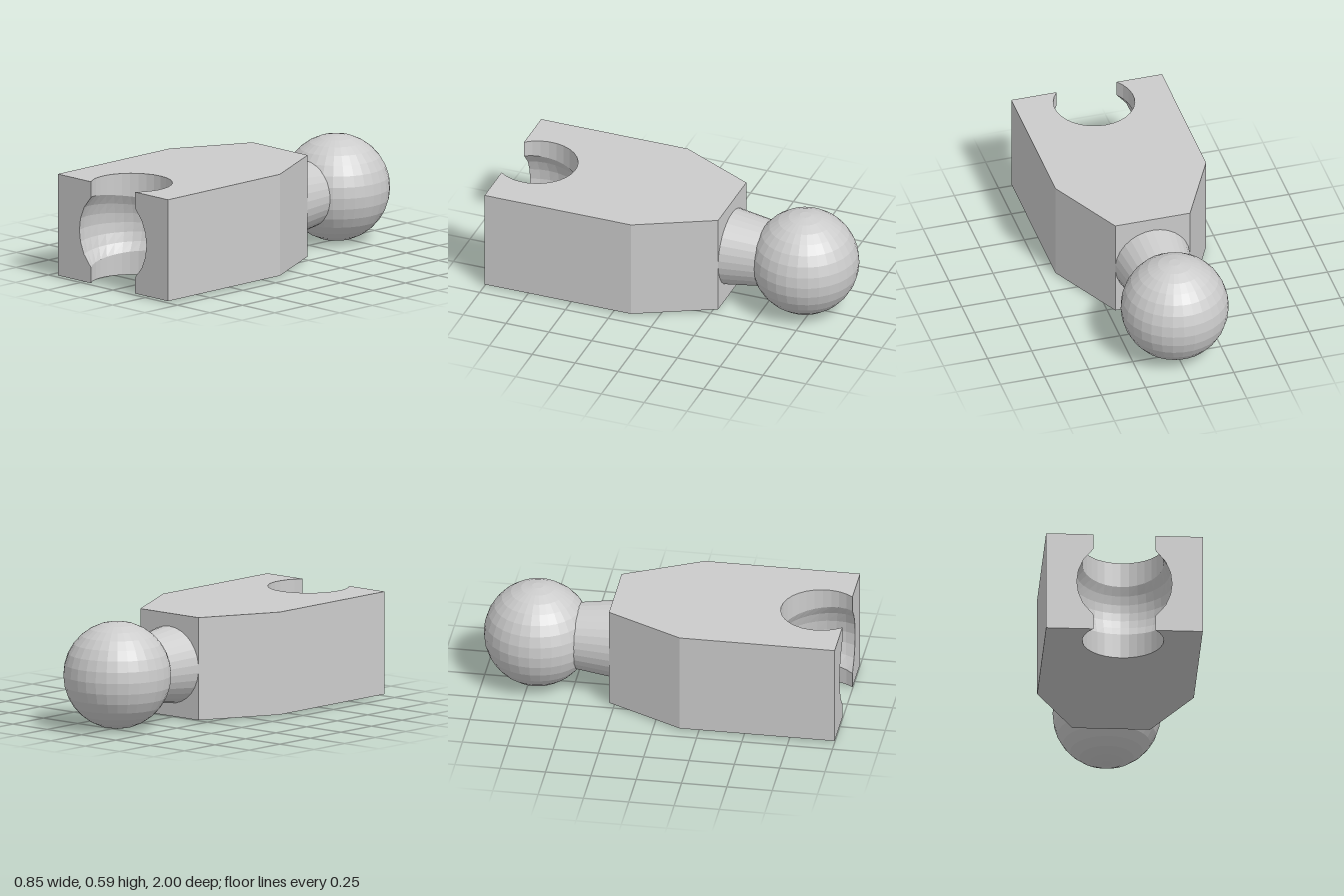
import * as THREE from 'three';

const BOTTOM = 0.01, TOP = 0.577, MID = 0.293, FRONT = 1;
const SLOT = { z: 0.857, r: 0.222 };    // upright round slot
const SOCKET = { z: 0.882, r: 0.285 };  // spherical hollow crossing the slot
const COLS = 22, ROWS = 6;
const material = new THREE.MeshStandardMaterial({ color: 0xcccccc, flatShading: true });

function add(parent, name, geometry) {
  const mesh = new THREE.Mesh(geometry, material);
  mesh.name = name;
  parent.add(mesh);
  return mesh;
}

// Skin over rows of [x, y, z] points, rows running top to bottom
function skin(rows) {
  const n = rows[0].length, index = [];
  for (let j = 0; j < rows.length - 1; j++) {
    for (let i = 0; i < n - 1; i++) {
      const a = j * n + i, b = a + n;
      index.push(a, b, a + 1, a + 1, b, b + 1);
    }
  }
  const g = new THREE.BufferGeometry();
  g.setAttribute('position', new THREE.Float32BufferAttribute(rows.flat(2), 3));
  g.setIndex(index);
  g.computeVertexNormals();
  return g;
}

const flat = (points) => new THREE.ShapeGeometry(new THREE.Shape(points.map(([x, y]) => new THREE.Vector2(x, y))));

// Rows of the notch: slot wall, hollow, slot wall; angles are about the slot axis
function notchRows() {
  const d = SOCKET.z - SLOT.z, f = FRONT - SLOT.z;
  const edge = Math.atan2(Math.sqrt(SLOT.r ** 2 - f * f), -f);
  const creaseHeight = (t) =>
    Math.sqrt(SOCKET.r ** 2 - SLOT.r ** 2 - 2 * SLOT.r * d * Math.cos(t) - d * d);
  const at = (t, r, y) => [r * Math.sin(t), y, SLOT.z - r * Math.cos(t)];
  const row = (fn) => Array.from({ length: COLS + 1 }, (_, i) => fn((2 * i) / COLS - 1));

  const rows = [row((u) => at(u * edge, SLOT.r, TOP))];
  for (let j = 0; j <= ROWS; j++) {
    const s = 1 - (2 * j) / ROWS;
    const frontDy = s * creaseHeight(edge);
    const frontX = Math.sqrt(SOCKET.r ** 2 - frontDy ** 2 - (FRONT - SOCKET.z) ** 2);
    const spread = Math.atan2(frontX, -f);
    rows.push(row((u) => {
      const dy = s * creaseHeight(u * edge), t = u * spread;
      const r = -d * Math.cos(t) + Math.sqrt(SOCKET.r ** 2 - dy * dy - (d * Math.sin(t)) ** 2);
      return at(t, r, MID + dy);
    }));
  }
  rows.push(row((u) => at(u * edge, SLOT.r, BOTTOM)));
  return rows;
}

export function createModel() {
  const model = new THREE.Group();
  model.name = 'ballJointLink';

  // Body block with tapered back and open socket
  const body = new THREE.Group();
  body.name = 'body';
  model.add(body);
  const notch = notchRows();
  const half = [[0.427, FRONT], [0.427, 0.145], [0.212, -0.28]];
  const outline = [...half, ...half.map(([x, z]) => [-x, z]).reverse()];
  add(body, 'outerWalls', skin([TOP, BOTTOM].map((y) => outline.map(([x, z]) => [x, y, z]))));
  add(body, 'socket', skin(notch));

  // Top and bottom plates share the slot outline
  const plate = [...outline, ...notch[0].map(([x, , z]) => [x, z])];
  add(body, 'topPlate', flat(plate.map(([x, z]) => [x, -z])).rotateX(-Math.PI / 2)).position.y = TOP;
  add(body, 'bottomPlate', flat(plate).rotateX(Math.PI / 2)).position.y = BOTTOM;

  // Front cheeks either side of the opening
  for (const [name, side, col] of [['leftCheek', 1, COLS], ['rightCheek', -1, 0]]) {
    const rim = notch.map((row) => [row[col][0], row[col][1]]);
    add(body, name, flat([...rim, [side * 0.427, BOTTOM], [side * 0.427, TOP]])).position.z = FRONT;
  }

  // Tapered neck
  const neck = new THREE.CylinderGeometry(0.178, 0.212, 0.24, 30, 1, true);
  add(model, 'neck', neck.rotateX(-Math.PI / 2)).position.set(0, MID, -0.4);

  // Faceted ball with small flat poles
  const radius = 0.2946, profile = [new THREE.Vector2(0, -radius * Math.cos(Math.PI / 30))];
  for (let i = 0; i < 15; i++) {
    const a = ((i + 0.5) * Math.PI) / 15;
    profile.push(new THREE.Vector2(radius * Math.sin(a), -radius * Math.cos(a)));
  }
  profile.push(new THREE.Vector2(0, radius * Math.cos(Math.PI / 30)));
  const ball = new THREE.LatheGeometry(profile, 30).rotateY(Math.PI / 2);
  add(model, 'ball', ball).position.set(0, MID, -0.707);

  return model;
}
